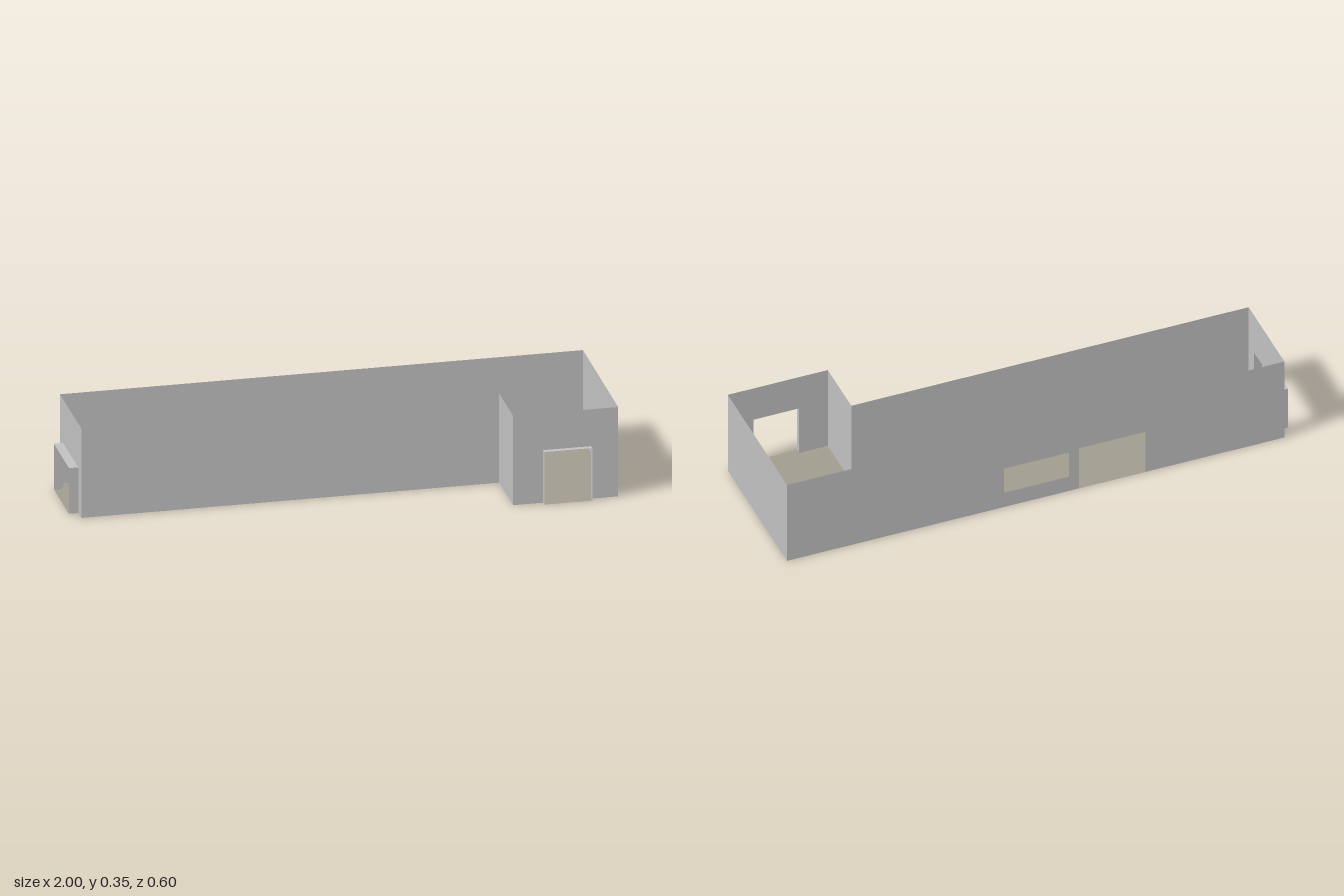
import * as THREE from 'three';

const H = 0.352;

export function createModel() {
  const wallGrey = new THREE.MeshStandardMaterial({ color: 0xc0c0c0, side: THREE.DoubleSide });
  wallGrey.name = 'wallGrey';
  const floorTaupe = new THREE.MeshStandardMaterial({ color: 0xa09b8e, side: THREE.DoubleSide });
  floorTaupe.name = 'floorTaupe';

  const model = new THREE.Group();
  model.name = 'room';

  const add = (parent, name, geometry, material) => {
    const mesh = new THREE.Mesh(geometry, material);
    mesh.name = name;
    parent.add(mesh);
    return mesh;
  };
  const points = (list) => list.map(([x, y]) => new THREE.Vector2(x, y));

  // L-shaped floor, listed counter-clockwise from above as [x, z]
  const corners = [
    [-0.965, 0.05], [0.605, 0.05], [0.605, 0.28],
    [1, 0.28], [1, -0.3], [-0.965, -0.3],
  ];
  const floorShape = new THREE.Shape(points(corners.map(([x, z]) => [x, -z])));
  add(model, 'floor', new THREE.ShapeGeometry(floorShape), floorTaupe).rotation.x = -Math.PI / 2;

  // Projecting lining around a doorway: two jambs, a lintel and a threshold
  const addLining = (wall, { from, to, top, depth }) => {
    const width = to - from;
    const mid = (from + to) / 2;
    for (const [name, x] of [['jambStart', from], ['jambEnd', to]]) {
      const jamb = add(wall, name, new THREE.PlaneGeometry(depth, top), wallGrey);
      jamb.position.set(x, top / 2, depth / 2);
      jamb.rotation.y = Math.PI / 2;
    }
    for (const [name, y, material] of [['lintel', top, wallGrey], ['threshold', 0, floorTaupe]]) {
      const slab = add(wall, name, new THREE.PlaneGeometry(width, depth), material);
      slab.position.set(mid, y, depth / 2);
      slab.rotation.x = -Math.PI / 2;
    }
  };

  // Thin wall between two floor corners; openings are measured along the wall.
  // Doorways notch the outline, windows become holes.
  const addWall = (name, [x0, z0], [x1, z1], openings = []) => {
    const length = Math.hypot(x1 - x0, z1 - z0);
    const wall = new THREE.Group();
    wall.name = name;
    wall.position.set(x0, 0, z0);
    wall.rotation.y = Math.atan2(z0 - z1, x1 - x0);

    const outline = [[0, 0]];
    for (const { from, to, top, sill = 0 } of openings) {
      if (sill === 0) outline.push([from, 0], [from, top], [to, top], [to, 0]);
    }
    outline.push([length, 0], [length, H], [0, H]);
    const shape = new THREE.Shape(points(outline));
    for (const { from, to, top, sill = 0 } of openings) {
      if (sill > 0) {
        shape.holes.push(new THREE.Path(points([[from, sill], [from, top], [to, top], [to, sill]])));
      }
    }
    add(wall, name + 'Panel', new THREE.ShapeGeometry(shape), wallGrey);
    openings.filter((o) => o.depth).forEach((o) => addLining(wall, o));
    model.add(wall);
  };

  // Walls follow the floor outline, outer faces looking outwards
  const openings = {
    wingFrontWall: [{ from: 0.113, to: 0.293, top: 0.207, depth: 0.02 }],
    backWall: [
      { from: 0.856, to: 1.113, top: 0.178, sill: 0.066 },
      { from: 1.153, to: 1.416, top: 0.186 },
    ],
    endWall: [{ from: 0.05, to: 0.3, top: 0.18, depth: 0.035 }],
  };
  const names = ['frontWall', 'wingInnerWall', 'wingFrontWall', 'leftWall', 'backWall', 'endWall'];
  names.forEach((name, i) => {
    addWall(name, corners[i], corners[(i + 1) % corners.length], openings[name]);
  });

  return model;
}
